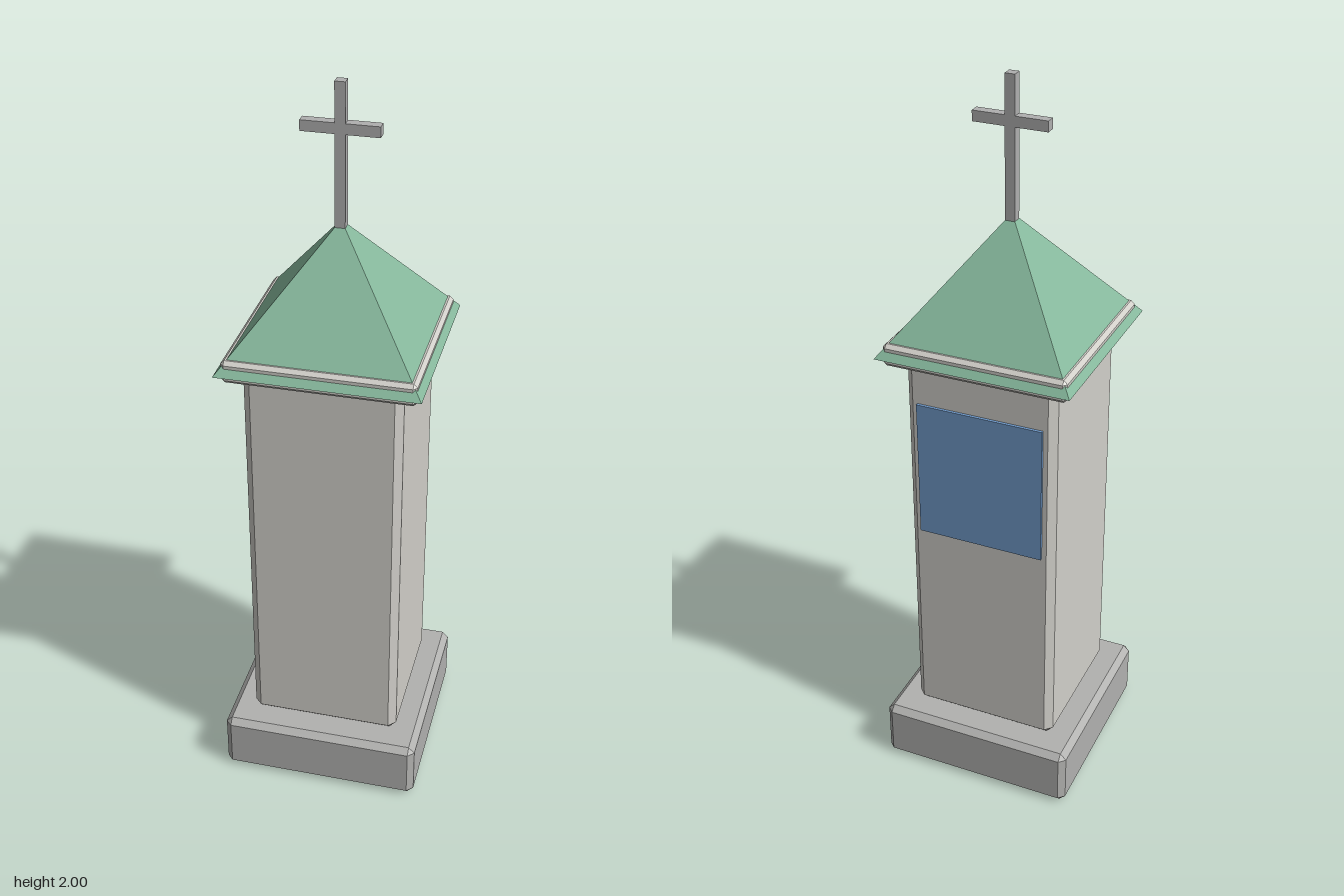
import * as THREE from 'three';
import { ConvexGeometry } from 'three/addons/geometries/ConvexGeometry.js';

const mat = (name, color, flatShading = false) => {
  const m = new THREE.MeshStandardMaterial({ color, flatShading });
  m.name = name;
  return m;
};

// Box with chamfered edges: three points around each corner
function chamferBox(w, h, d, c) {
  const pts = [];
  for (const sx of [-1, 1]) for (const sy of [-1, 1]) for (const sz of [-1, 1]) {
    const x = w / 2, y = h / 2, z = d / 2;
    pts.push(
      new THREE.Vector3(sx * x, sy * (y - c), sz * (z - c)),
      new THREE.Vector3(sx * (x - c), sy * y, sz * (z - c)),
      new THREE.Vector3(sx * (x - c), sy * (y - c), sz * z));
  }
  return new ConvexGeometry(pts);
}

export function createModel() {
  const group = new THREE.Group();
  group.name = 'wayside shrine';

  const plaster = mat('plaster', 0xd2d0ca);
  const stone = mat('stone', 0xb2b2b0);
  const copper = mat('green copper', 0x86b89c, true);
  const metal = mat('grey metal', 0xb0b0b0);
  const blue = mat('blue panel', 0x719bcb);

  const add = (name, geometry, material, y, z = 0) => {
    const mesh = new THREE.Mesh(geometry, material);
    mesh.name = name;
    mesh.position.set(0, y, z);
    group.add(mesh);
    return mesh;
  };
  // Square chamfered block between two heights
  const block = (name, half, y0, y1, c, material) =>
    add(name, chamferBox(half * 2, y1 - y0, half * 2, c), material, (y0 + y1) / 2);

  // Masonry
  block('base', 0.277, 0, 0.17, 0.017, stone);
  block('shaft', 0.208, 0.17, 1.285, 0.02, plaster);
  block('cornice', 0.25, 1.283, 1.345, 0.01, plaster);

  // Pyramid roof, with the cornice showing through near its eaves
  const roof = new THREE.ConeGeometry(0.265 * Math.SQRT2, 0.338, 4);
  roof.rotateY(Math.PI / 4);
  add('roof', roof, copper, 1.307 + 0.169);

  // Cross
  add('crossPost', new THREE.BoxGeometry(0.027, 0.4, 0.027), metal, 1.8);
  add('crossArm', new THREE.BoxGeometry(0.2, 0.028, 0.027), metal, 1.884);

  // Panel on the back of the shaft
  add('backPanel', new THREE.BoxGeometry(0.35, 0.39, 0.009), blue, 0.975, -0.2115);

  return group;
}
